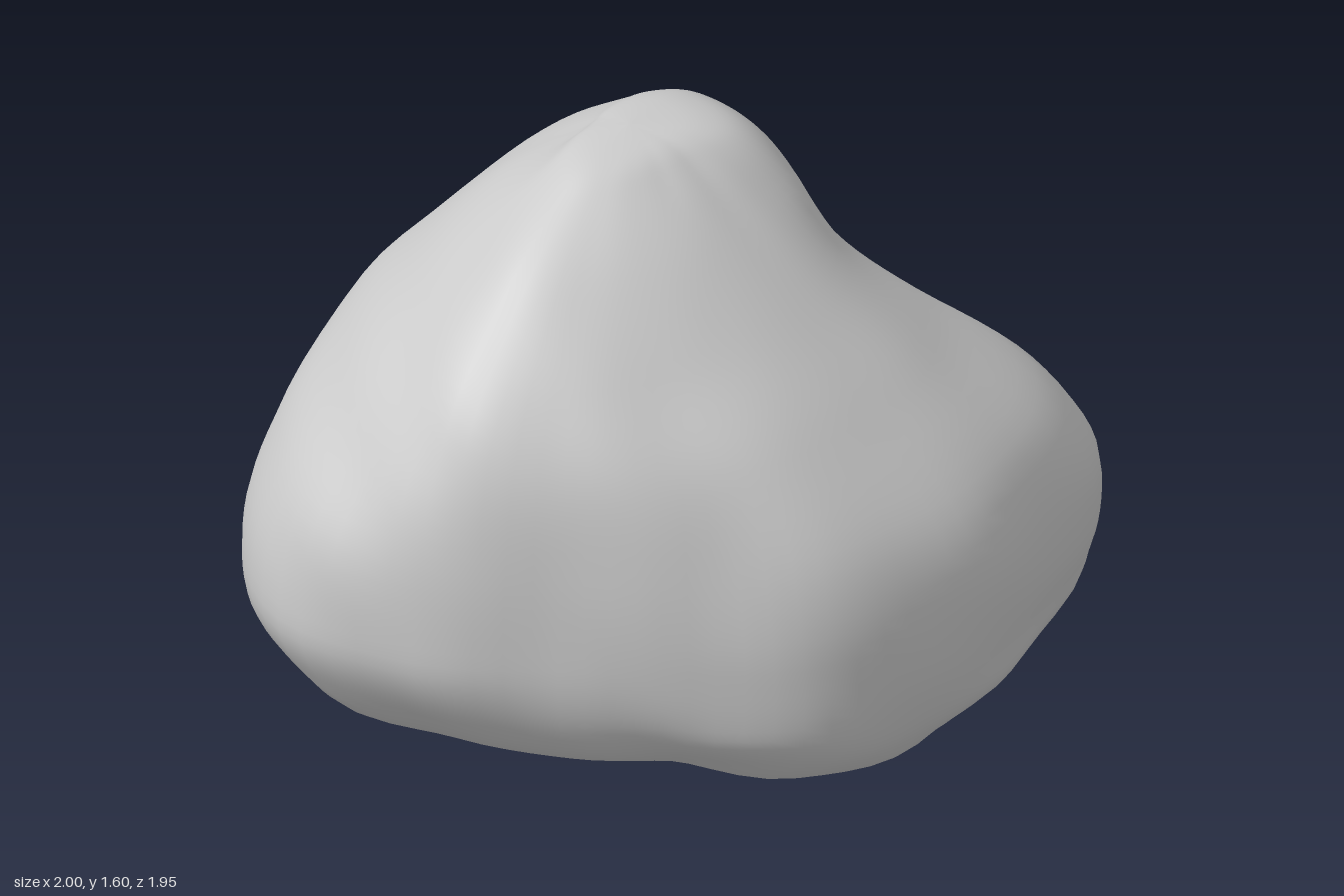
import * as THREE from 'three';

// Heights of the main cross-sections, and radii in 16 directions (from +x round towards +z)
const LEVELS = [0.05, 0.15, 0.3, 0.5, 0.75, 1.0, 1.2, 1.4, 1.53];
const RADII = [
  [0.80, 0.68, 0.50, 0.43, 0.41, 0.44, 0.50, 0.58, 0.62, 0.48, 0.33, 0.27, 0.25, 0.30, 0.40, 0.57],
  [0.92, 0.85, 0.68, 0.67, 0.70, 0.79, 0.78, 0.83, 0.91, 0.97, 0.93, 0.76, 0.76, 0.89, 1.06, 0.98],
  [0.97, 0.93, 0.82, 0.79, 0.86, 0.95, 0.94, 0.89, 0.95, 1.06, 1.08, 0.90, 0.89, 1.00, 1.15, 1.04],
  [0.99, 0.94, 0.84, 0.83, 0.94, 1.04, 0.98, 0.88, 0.91, 1.03, 1.10, 0.92, 0.94, 1.05, 1.19, 1.06],
  [0.93, 0.89, 0.81, 0.82, 0.92, 1.00, 0.93, 0.83, 0.84, 0.93, 1.01, 0.85, 0.78, 0.83, 1.06, 1.00],
  [0.73, 0.73, 0.73, 0.77, 0.84, 0.83, 0.77, 0.72, 0.69, 0.75, 0.86, 0.75, 0.62, 0.60, 0.75, 0.76],
  [0.54, 0.54, 0.57, 0.64, 0.73, 0.65, 0.59, 0.55, 0.53, 0.57, 0.64, 0.60, 0.50, 0.48, 0.54, 0.55],
  [0.34, 0.35, 0.38, 0.44, 0.51, 0.44, 0.39, 0.36, 0.34, 0.36, 0.41, 0.44, 0.43, 0.42, 0.42, 0.37],
  [0.20, 0.20, 0.22, 0.26, 0.30, 0.26, 0.20, 0.16, 0.15, 0.17, 0.21, 0.27, 0.31, 0.31, 0.30, 0.24],
];
const AROUND = 80, STEPS = 6;

// Slope between two steps, limited so that the curve never overshoots
function slope(p, q) {
  if (p * q <= 0) return 0;
  return Math.sign(p) * Math.min(Math.abs(p + q) / 2, 3 * Math.abs(p), 3 * Math.abs(q));
}

// Smooth curve from b to c
function spline(a, b, c, d, t) {
  const m = slope(b - a, c - b), n = slope(c - b, d - c);
  const u = t * t * (3 - 2 * t);
  return b + (c - b) * u + m * t * (1 - t) * (1 - t) - n * t * t * (1 - t);
}

// Radius of one cross-section at a position around it
function radiusAt(ring, s) {
  const i = Math.floor(s), n = ring.length;
  const at = (k) => ring[(i + k + n) % n];
  return spline(at(-1), at(0), at(1), at(2), s - i);
}

// Gentle worn unevenness
function wear(x, y, z) {
  return 0.006 * Math.sin(7 * x + 4 * y + 2 * Math.sin(5 * z))
    + 0.005 * Math.sin(9 * z - 6 * y + 2 * Math.sin(6 * x))
    + 0.003 * Math.sin(17 * x - 11 * z + 13 * y);
}

function boulderGeometry() {
  // Close the stack with a shrunken section and a pole at either end
  const scaled = (ring, k) => ring.map((r) => r * k);
  const last = RADII.length - 1;
  const heights = [0, 0.018, ...LEVELS, 1.585, 1.6];
  const rings = [scaled(RADII[0], 0), scaled(RADII[0], 0.6), ...RADII,
    scaled(RADII[last], 0.57), scaled(RADII[last], 0)];
  const n = rings.length, rows = (n - 1) * STEPS;
  const clamp = (i) => Math.min(n - 1, Math.max(0, i));

  const pos = [], index = [];
  const addPoint = (row, col) => {
    const i = Math.min(n - 2, Math.floor(row / STEPS)), t = row / STEPS - i;
    const k = [i - 1, i, i + 1, i + 2].map(clamp);
    const s = (col / AROUND) * 16, a = (col / AROUND) * Math.PI * 2;
    const r = spline(...k.map((j) => radiusAt(rings[j], s)), t);
    const y = spline(...k.map((j) => heights[j]), t);
    const x = r * Math.cos(a), z = r * Math.sin(a);
    const w = 1 + wear(x, y, z) * Math.min(1, r * 3);
    pos.push(x * w, y, z * w);
  };

  // Bottom pole, rows of points, top pole
  addPoint(0, 0);
  for (let row = 1; row < rows; row++) {
    for (let col = 0; col < AROUND; col++) addPoint(row, col);
  }
  addPoint(rows, 0);

  const id = (row, col) => 1 + (row - 1) * AROUND + (col % AROUND);
  const top = pos.length / 3 - 1;
  for (let col = 0; col < AROUND; col++) {
    index.push(0, id(1, col), id(1, col + 1));
    for (let row = 1; row < rows - 1; row++) {
      const a = id(row, col), b = id(row, col + 1), c = id(row + 1, col + 1), d = id(row + 1, col);
      index.push(a, d, c, a, c, b);
    }
    index.push(top, id(rows - 1, col + 1), id(rows - 1, col));
  }

  const geo = new THREE.BufferGeometry();
  geo.setAttribute('position', new THREE.Float32BufferAttribute(pos, 3));
  geo.setIndex(index);
  geo.computeVertexNormals();
  return geo;
}

export function createModel() {
  const group = new THREE.Group();
  group.name = 'rock';
  const boulder = new THREE.Mesh(boulderGeometry(), new THREE.MeshStandardMaterial({ color: 0xcccccc }));
  boulder.name = 'boulder';
  group.add(boulder);
  return group;
}
